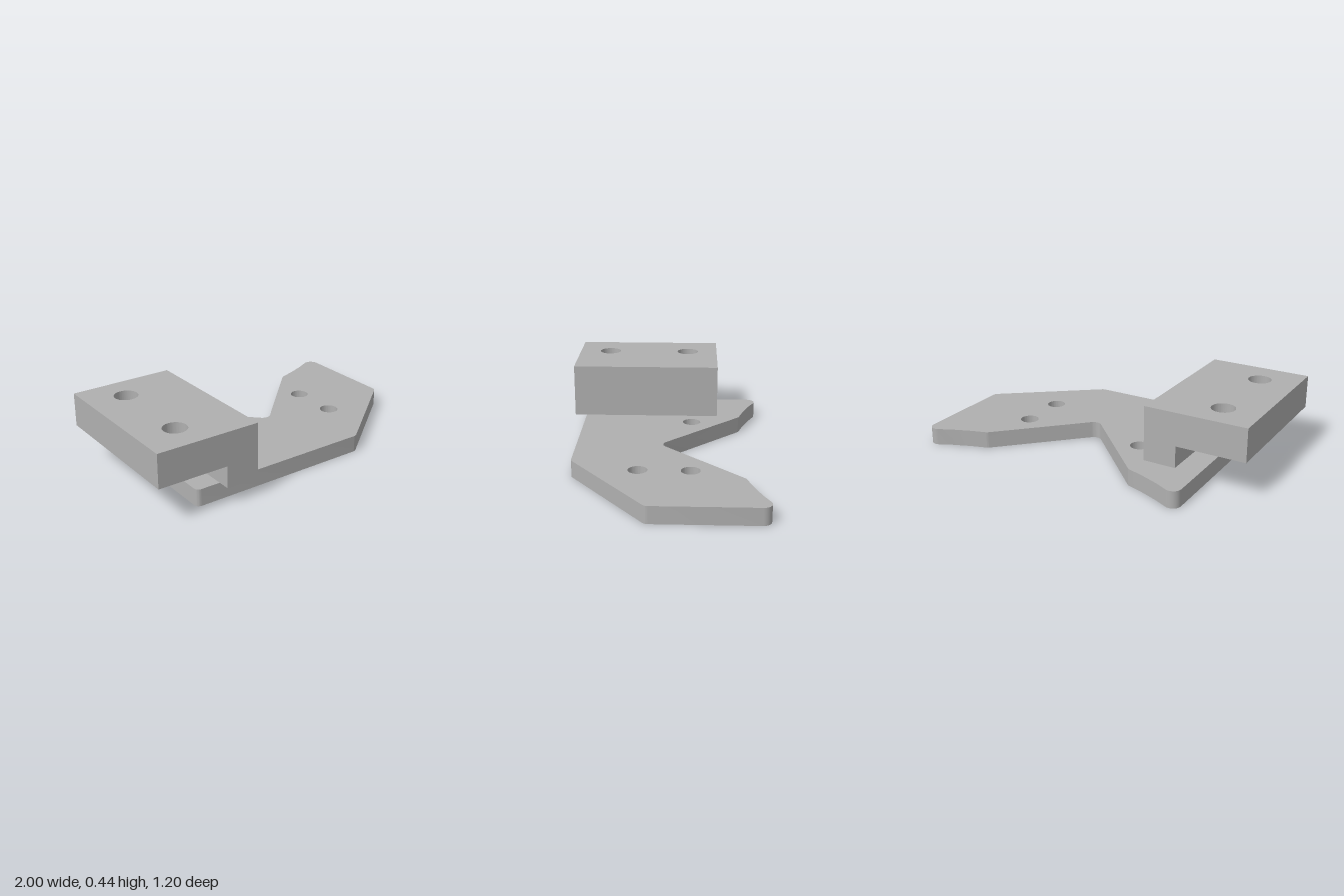
import * as THREE from 'three';
import { toCreasedNormals } from 'three/addons/utils/BufferGeometryUtils.js';

// Closed outline from [x, z, radius] corners, each rounded by its radius
function roundedOutline(corners) {
  const pts = corners.map(([x, z]) => new THREE.Vector2(x, -z));
  const n = pts.length;
  const out = [];
  pts.forEach((p, i) => {
    const r = corners[i][2];
    if (!r) { out.push(p); return; }
    const a = pts[(i + n - 1) % n].clone().sub(p).normalize();
    const b = pts[(i + 1) % n].clone().sub(p).normalize();
    const half = Math.acos(a.dot(b)) / 2;
    const centre = a.clone().add(b).normalize().multiplyScalar(r / Math.sin(half)).add(p);
    const start = a.clone().multiplyScalar(r / Math.tan(half)).add(p).sub(centre);
    const sweep = Math.sign(b.cross(a)) * (Math.PI - 2 * half);
    const steps = 10;
    for (let k = 0; k <= steps; k++) {
      out.push(start.clone().rotateAround(new THREE.Vector2(), sweep * k / steps).add(centre));
    }
  });
  return new THREE.Shape(out);
}

// Flat slab lying in the ground plane, drilled with [x, z, radius] holes
function slab(shape, holes, bottom, height) {
  for (const [x, z, r] of holes) {
    shape.holes.push(new THREE.Path().absarc(x, -z, r, 0, Math.PI * 2, true));
  }
  const geo = new THREE.ExtrudeGeometry(shape, { depth: height, bevelEnabled: false, curveSegments: 40 });
  geo.rotateX(-Math.PI / 2).translate(0, bottom, 0);
  return toCreasedNormals(geo, 0.5);
}

export function createModel() {
  const grey = new THREE.MeshStandardMaterial({ color: 0xb0b0b0 });
  grey.name = 'grey';
  const model = new THREE.Group();
  model.name = 'bracket';
  const add = (name, geo) => {
    const mesh = new THREE.Mesh(geo, grey);
    mesh.name = name;
    model.add(mesh);
    return mesh;
  };

  // Base plate with a V notch between two mirrored lobes
  const lobe = [[1, -0.627, 0.05], [0.85, -0.553, 0], [0.74, -0.51, 0], [0.635, -0.477, 0.03]];
  const mirrored = lobe.map(([x, z, r]) => [0.273 - x, z, r]).reverse();
  const plate = roundedOutline([
    [-0.727, 0.525, 0.03], [0.41, 0.525, 0.04], [1, 0.067, 0.04],
    ...lobe, [0.1365, 0.02, 0.05], ...mirrored,
  ]);
  add('basePlate', slab(plate, [[-0.262, -0.17, 0.056], [0.535, -0.17, 0.056], [0.535, 0.13, 0.056]], 0, 0.103));

  // Overhanging top block with two bolt holes
  const top = roundedOutline([[-1, 0.6, 0], [-0.38, 0.6, 0], [-0.38, -0.335, 0], [-1, -0.335, 0]]);
  add('overhangBlock', slab(top, [[-0.77, -0.137, 0.07], [-0.77, 0.395, 0.07]], 0.235, 0.2));

  // Upright joining the overhang to the plate
  add('upright', new THREE.BoxGeometry(0.2, 0.132, 0.935)).position.set(-0.48, 0.169, 0.1325);

  return model;
}
